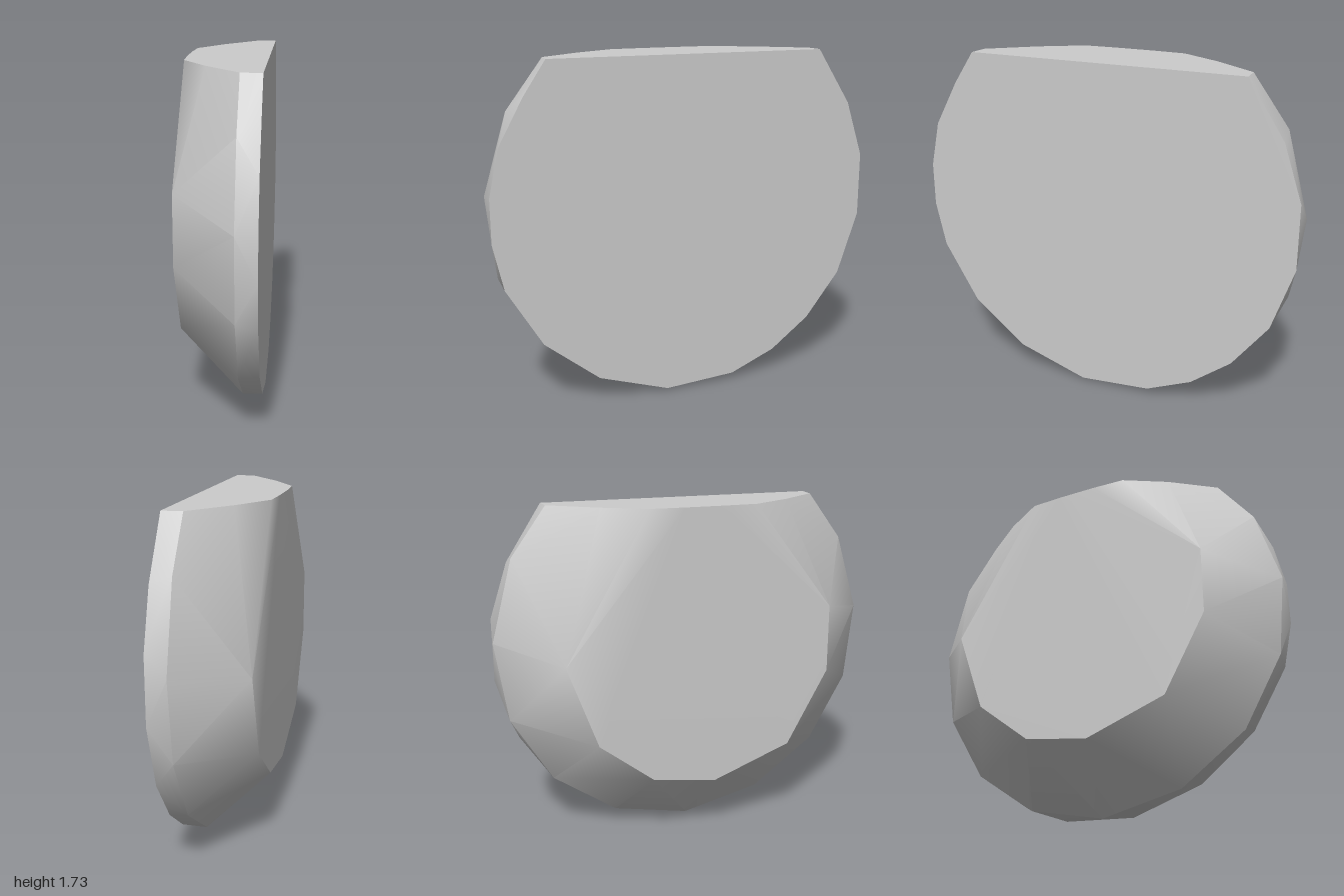
import * as THREE from 'three';
import { toCreasedNormals } from 'three/addons/utils/BufferGeometryUtils.js';
import { ConvexGeometry } from 'three/addons/geometries/ConvexGeometry.js';

// Cross-sections as [z, y] outlines, each at its own x
const sections = [
  // flat outer face
  [0.2, [
    [-0.71, 1.73], [-0.892, 1.45], [-0.985, 1.17], [-0.985, 0.845], [-0.877, 0.524], [-0.695, 0.29],
    [-0.488, 0.134], [-0.25, 0.036], [0.122, 0.013], [0.488, 0.135], [0.767, 0.36], [0.945, 0.66],
    [0.995, 0.89], [0.995, 1.11], [0.944, 1.34], [0.82, 1.565], [0.71, 1.73],
  ]],
  // widest ring
  [0.1, [
    [-0.705, 1.73], [-0.884, 1.485], [-0.995, 1.07], [-0.935, 0.66], [-0.728, 0.315], [-0.4, 0.085],
    [0, 0], [0.42, 0.096], [0.755, 0.34], [0.955, 0.69], [1, 1.1], [0.882, 1.49], [0.7, 1.73],
  ]],
  // where the bevel meets the flat top
  [-0.07, [[-0.48, 1.73], [0.48, 1.73]]],
  [-0.193, [[-0.27, 1.73], [0.27, 1.73]]],
  // small inner face
  [-0.2, [
    [-0.1, 1.73], [-0.7, 1], [-0.55, 0.58], [-0.27, 0.36], [0.06, 0.31],
    [0.47, 0.46], [0.685, 0.845], [0.685, 1.19], [0.1, 1.73],
  ]],
];

export function createModel() {
  const group = new THREE.Group();
  group.name = 'bevelledDisc';
  const grey = new THREE.MeshStandardMaterial({ color: 0xcccccc });
  grey.name = 'grey';

  // Faceted disc: the hull of all sections, smooth round the rim and sharp at the bevels
  const points = sections.flatMap(([x, outline]) => outline.map(([z, y]) => new THREE.Vector3(x, y, z)));
  const body = new THREE.Mesh(toCreasedNormals(new ConvexGeometry(points), 0.62), grey);
  body.name = 'discBody';
  group.add(body);
  return group;
}
